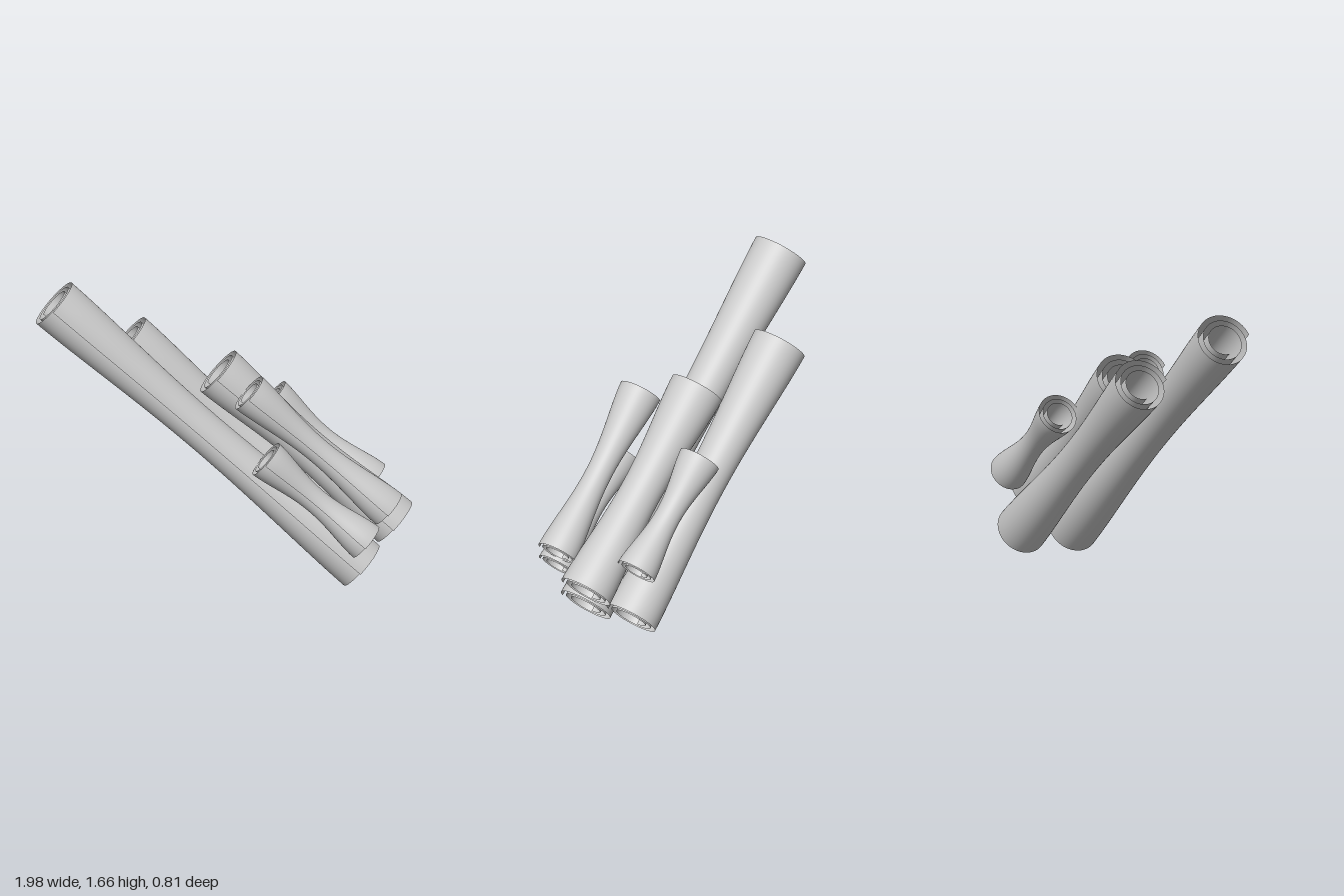
import * as THREE from 'three';

const TURNS = 2.75; // windings of the rolled sheet
const AROUND = 132, ALONG = 28;

// One rolled sheet: a spiral cross-section swept from top to bottom, narrowed at the waist
function rolledSheet(top, bottom, rTop, rBottom, pinch) {
  const a = new THREE.Vector3(...top), b = new THREE.Vector3(...bottom);
  const axis = b.clone().sub(a).normalize();
  const side = new THREE.Vector3(0, 0, 1).addScaledVector(axis, -axis.z).normalize();
  const up = side.clone().cross(axis);
  const pos = [], index = [], p = new THREE.Vector3();
  for (let j = 0; j <= ALONG; j++) {
    const t = j / ALONG;
    const waist = 1 - pinch * Math.pow(Math.max(0, Math.sin(Math.PI * t)), 1.5);
    const R = THREE.MathUtils.lerp(rTop, rBottom, t) * waist;
    for (let i = 0; i <= AROUND; i++) {
      const s = i / AROUND;
      const angle = 0.15 + s * TURNS * Math.PI * 2;
      const r = R * (1 - 0.52 * s);
      p.lerpVectors(a, b, t)
        .addScaledVector(side, r * Math.cos(angle))
        .addScaledVector(up, r * Math.sin(angle));
      pos.push(p.x, p.y, p.z);
      if (i < AROUND && j < ALONG) {
        const k = j * (AROUND + 1) + i, n = k + AROUND + 1;
        index.push(k, k + 1, n, k + 1, n + 1, n);
      }
    }
  }
  const geo = new THREE.BufferGeometry();
  geo.setAttribute('position', new THREE.Float32BufferAttribute(pos, 3));
  geo.setIndex(index);
  geo.computeVertexNormals();
  return geo;
}

export function createModel() {
  const group = new THREE.Group();
  group.name = 'rolledSheets';
  const material = new THREE.MeshStandardMaterial({ color: 0xcccccc, side: THREE.DoubleSide });

  // name, top centre, bottom centre, top radius, bottom radius, waist pinch
  const rolls = [
    ['longFrontRoll', [-0.895, 1.555, 0.21], [0.735, 0.11, 0.075], 0.16, 0.158, 0.25],
    ['longBackRoll', [-0.55, 1.255, -0.115], [0.71, 0.14, -0.235], 0.16, 0.155, 0.25],
    ['middleRoll', [-0.045, 1.14, 0.005], [0.89, 0.31, -0.075], 0.158, 0.155, 0.25],
    ['shortUpperRoll', [0.155, 1.115, 0.232], [0.89, 0.463, 0.137], 0.123, 0.118, 0.38],
    ['shortFrontRoll', [0.255, 0.765, 0.285], [0.785, 0.305, 0.237], 0.121, 0.118, 0.38],
    ['shortBackRoll', [0.205, 0.912, -0.253], [0.738, 0.46, -0.298], 0.122, 0.117, 0.38],
  ];
  for (const [name, ...shape] of rolls) {
    const mesh = new THREE.Mesh(rolledSheet(...shape), material);
    mesh.name = name;
    group.add(mesh);
  }
  return group;
}
